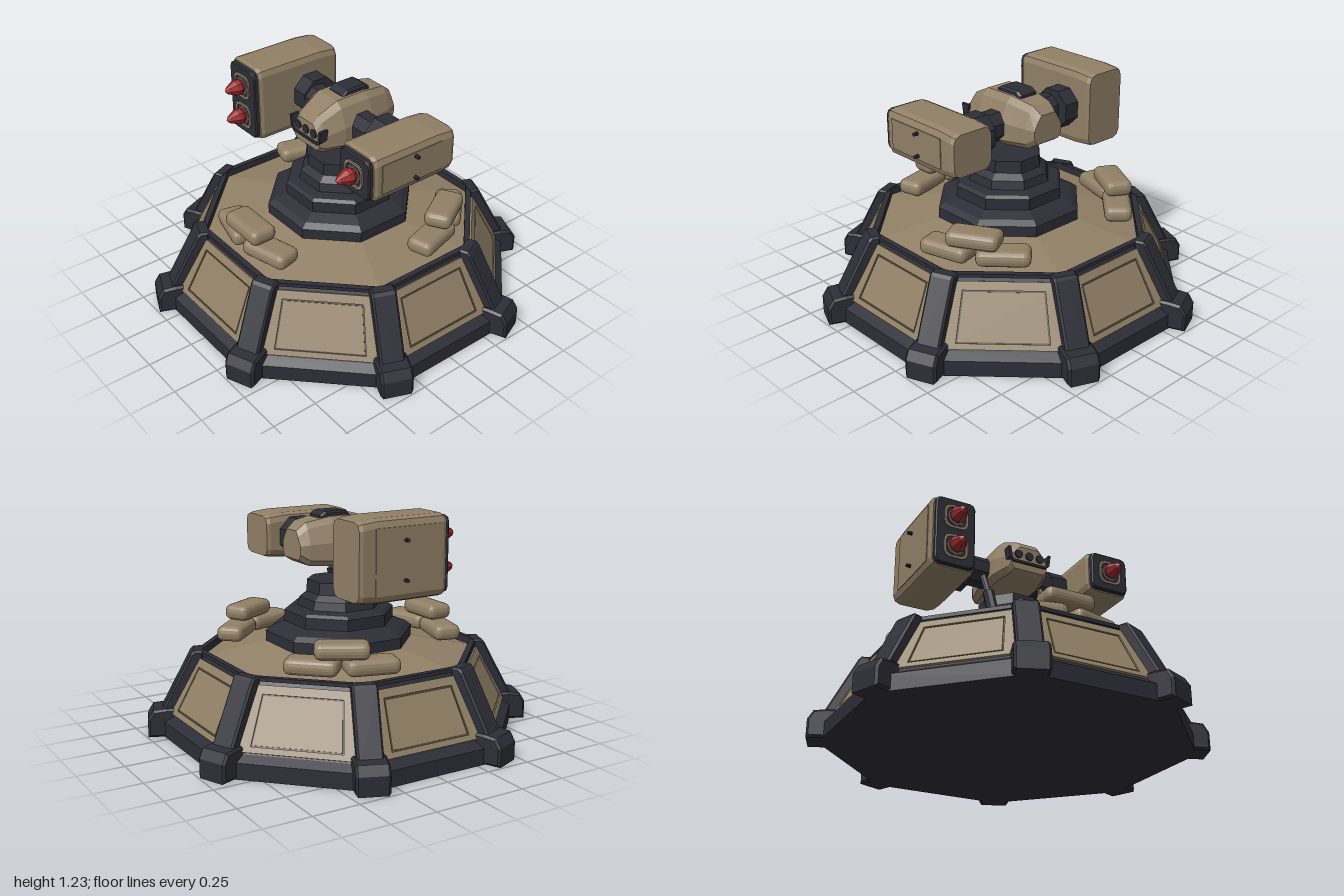
import * as THREE from 'three';
import { RoundedBoxGeometry } from 'three/addons/geometries/RoundedBoxGeometry.js';

const mat = (name, color) => Object.assign(new THREE.MeshStandardMaterial({ color }), { name });

// Split shared corners so every facet is shaded flat
function flat(geo) {
  const g = geo.index ? geo.toNonIndexed() : geo;
  g.computeVertexNormals();
  return g;
}

// Octagonal solid with flats on the axes; profile is [apothem, y], bottom to top
function octagon(profile) {
  const k = 1 / Math.cos(Math.PI / 8);
  return flat(new THREE.LatheGeometry(profile.map(([r, y]) => new THREE.Vector2(r * k, y)), 8, Math.PI / 8));
}

// Skin over counter-clockwise cross-sections { z, pts } ordered by rising z
function loft(sections) {
  const n = sections[0].pts.length, pos = [], idx = [];
  for (const { z, pts } of sections) for (const [x, y] of pts) pos.push(x, y, z);
  for (let i = 0; i < sections.length - 1; i++) {
    for (let j = 0; j < n; j++) {
      const a = i * n + j, b = i * n + (j + 1) % n;
      idx.push(a, b, b + n, a, b + n, a + n);
    }
  }
  const last = (sections.length - 1) * n;
  for (let j = 1; j < n - 1; j++) idx.push(0, j + 1, j, last, last + j, last + j + 1);
  const g = new THREE.BufferGeometry();
  g.setAttribute('position', new THREE.Float32BufferAttribute(pos, 3));
  g.setIndex(idx);
  return flat(g);
}

// Rectangle with rounded corners, three points each
function roundRect(hw, hh, r) {
  const pts = [];
  [[1, 1], [-1, 1], [-1, -1], [1, -1]].forEach(([sx, sy], q) => {
    for (let k = 0; k < 3; k++) {
      const a = q * Math.PI / 2 + k * Math.PI / 4;
      pts.push([sx * (hw - r) + r * Math.cos(a), sy * (hh - r) + r * Math.sin(a)]);
    }
  });
  return pts;
}

const toShape = pts => new THREE.Shape(pts.map(([x, y]) => new THREE.Vector2(x, y)));
const trapezoid = (bottom, top, y0, y1) => [[-bottom, y0], [bottom, y0], [top, y1], [-top, y1]];

function extrude(shape, depth, bevel = 0) {
  return new THREE.ExtrudeGeometry(shape, {
    depth: depth - 2 * bevel, bevelEnabled: bevel > 0, bevelSize: bevel, bevelThickness: bevel,
    bevelOffset: -bevel, bevelSegments: 1, curveSegments: 1,
  });
}

export function createModel() {
  const tan = mat('tan armour', 0x918066), groove = mat('groove brown', 0x51473a);
  const dark = mat('dark metal', 0x2d2d37), steel = mat('grey steel', 0x55565c);
  const red = mat('warhead red', 0x9e2a2c);

  const model = new THREE.Group();
  const add = (parent, name, geo, material, x = 0, y = 0, z = 0) => {
    const m = new THREE.Mesh(geo, material);
    m.name = name;
    m.position.set(x, y, z);
    parent.add(m);
    return m;
  };
  const group = (parent, name) => {
    const g = new THREE.Group();
    g.name = name;
    parent.add(g);
    return g;
  };

  // Bunker base: skirt, sloped wall, rim and deck
  const base = group(model, 'base');
  add(base, 'baseShell', octagon([[0, 0], [0.915, 0], [0.915, 0.085], [0.87, 0.115], [0.705, 0.44],
    [0.715, 0.44], [0.715, 0.46], [0.685, 0.46], [0.685, 0.41]]), dark);
  add(base, 'deck', octagon([[0.69, 0.42], [0.34, 0.5]]), tan);

  // Wall panels: a frame, a groove and an inset plate on every side
  const frame = toShape(trapezoid(0.33, 0.27, -0.18, 0.155));
  frame.holes.push(new THREE.Path(trapezoid(0.232, 0.204, -0.15, 0.11).map(p => new THREE.Vector2(...p))));
  const frameGeo = extrude(frame, 0.012);
  const plateGeo = extrude(toShape(trapezoid(0.224, 0.197, -0.142, 0.102)), 0.01);
  const grooveGeo = extrude(toShape(trapezoid(0.25, 0.22, -0.16, 0.12)), 0.004);
  // Corner posts and feet, drawn as radius against height
  const postGeo = extrude(toShape([[0.74, 0.05], [0.985, 0.05], [0.975, 0.13], [0.805, 0.45], [0.79, 0.465],
    [0.74, 0.465]]), 0.13, 0.01).translate(0, 0, -0.055);
  const footGeo = extrude(toShape([[0.84, 0], [1.045, 0], [1.045, 0.1], [1.015, 0.148], [0.95, 0.155],
    [0.84, 0.155]]), 0.17, 0.012).translate(0, 0, -0.073);
  for (let i = 0; i < 8; i++) {
    const side = group(base, 'wallSide');
    side.rotation.y = i * Math.PI / 4;
    const panel = group(side, 'wallPanel');
    panel.position.set(0, 0.2825, 0.785);
    panel.rotation.x = -0.47;
    add(panel, 'panelFrame', frameGeo, tan);
    add(panel, 'panelGroove', grooveGeo, groove);
    add(panel, 'panelPlate', plateGeo, tan);
    const corner = group(base, 'corner');
    corner.rotation.y = (i + 0.5) * Math.PI / 4;
    add(corner, 'cornerPost', postGeo, dark);
    add(corner, 'cornerFoot', footGeo, dark);
  }

  // Three stacks of sandbags around the deck
  const bagGeo = flat(new RoundedBoxGeometry(0.28, 0.086, 0.15, 2, 0.036));
  for (let i = 0; i < 3; i++) {
    const stack = group(model, 'sandbagStack');
    stack.rotation.y = i * Math.PI * 2 / 3;
    [[-0.25, 0.502], [0.25, 0.502], [0, 0.587]].forEach(([a, y]) => {
      add(stack, 'sandbag', bagGeo, tan, 0.59 * Math.sin(a), y, 0.59 * Math.cos(a)).rotation.y = a;
    });
  }

  // Stepped pedestal
  add(model, 'pedestal', octagon([[0.37, 0.48], [0.37, 0.55], [0.34, 0.575], [0.275, 0.6], [0.275, 0.66],
    [0.26, 0.675], [0.21, 0.685], [0.2, 0.73], [0.165, 0.76], [0.16, 0.825], [0, 0.825]]), dark);

  // Head: armoured shell lofted from back to front
  const head = group(model, 'head');
  const headSection = ([z, w, top, low]) => {
    const half = [[0.8 * w, low], [w, low + 0.03], [w, (low + top) / 2], [0.74 * w, top - 0.03], [0.5 * w, top]];
    return { z, pts: [...half, ...half.map(([x, y]) => [-x, y]).reverse()] };
  };
  add(head, 'headShell', loft([[-0.29, 0.095, 1.11, 0.96], [-0.24, 0.115, 1.15, 0.93], [-0.1, 0.15, 1.175, 0.92],
    [0.08, 0.15, 1.175, 0.92], [0.19, 0.12, 1.12, 0.925], [0.22, 0.11, 1.08, 0.94]].map(headSection)), tan);
  add(head, 'roofHatch', extrude(toShape([[-0.15, 1.15], [0.03, 1.15], [0.03, 1.18], [0, 1.2], [-0.12, 1.2],
    [-0.15, 1.18]]), 0.12, 0.01).translate(0, 0, -0.05).rotateY(-Math.PI / 2), dark);
  add(head, 'visorBracket', extrude(toShape([[-0.13, 1.065], [-0.122, 1], [-0.1, 0.978], [0.1, 0.978], [0.122, 1],
    [0.13, 1.065], [0.115, 1.065], [0.105, 1.005], [0.093, 0.992], [-0.093, 0.992], [-0.105, 1.005],
    [-0.115, 1.065]]), 0.05), dark, 0, 0, 0.18);
  const lensGeo = flat(new THREE.CylinderGeometry(0.024, 0.024, 0.02, 10).rotateX(Math.PI / 2));
  for (const x of [-0.065, 0, 0.065]) add(head, 'lens', lensGeo, dark, x, 1.03, 0.219);

  // Shoulder arms and hydraulic struts, mirrored
  const octPrism = (r, len) => flat(new THREE.CylinderGeometry(r, r, len, 8, 1).rotateY(Math.PI / 8).rotateZ(Math.PI / 2));
  const armGeo = octPrism(0.085, 0.14), flangeGeo = octPrism(0.115, 0.095);
  const rod = (name, from, to, r, material) => {
    const a = new THREE.Vector3(...from), d = new THREE.Vector3(...to).sub(a);
    const m = add(model, name, flat(new THREE.CylinderGeometry(r, r, d.length(), 8)), material);
    m.position.copy(a).addScaledVector(d, 0.5);
    m.quaternion.setFromUnitVectors(new THREE.Vector3(0, 1, 0), d.normalize());
  };
  for (const s of [-1, 1]) {
    add(model, 'shoulderArm', armGeo, dark, s * 0.19, 1.015, -0.04);
    add(model, 'shoulderFlange', flangeGeo, dark, s * 0.3, 1.015, -0.065);
    rod('strutSleeve', [s * 0.148, 0.735, 0.08], [s * 0.162, 0.85, 0.055], 0.033, dark);
    rod('strutRod', [s * 0.16, 0.83, 0.058], [s * 0.18, 0.96, 0.025], 0.018, steel);
  }

  // Launcher pods
  const ringShape = toShape(roundRect(0.068, 0.068, 0.035));
  ringShape.holes.push(new THREE.Path(roundRect(0.055, 0.055, 0.028).map(p => new THREE.Vector2(...p))));
  const ringGeo = extrude(ringShape, 0.012);
  const warheadGeo = flat(new THREE.LatheGeometry([[0.03, 0], [0.046, 0.025], [0.042, 0.05], [0.02, 0.095], [0, 0.112]]
    .map(p => new THREE.Vector2(...p)), 8).rotateX(Math.PI / 2));
  const boltGeo = flat(new THREE.CylinderGeometry(0.01, 0.01, 0.03, 8).rotateZ(Math.PI / 2));
  const buildPod = (side, hh, tubes, bolts) => {
    const pod = group(model, side > 0 ? 'leftPod' : 'rightPod');
    pod.position.set(side * 0.473, 1.018, 0);
    const hw = 0.128;
    add(pod, 'podShell', loft([[-0.25, 0.008, 0.014], [-0.23, 0, 0.009], [-0.14, 0, 0], [0.245, 0, 0], [0.265, 0.008, 0.008]]
      .map(([z, dx, dy]) => ({ z, pts: roundRect(hw - dx, hh - dy, 0.042) }))), tan);
    add(pod, 'podFace', extrude(toShape(roundRect(hw - 0.015, hh - 0.015, 0.03)), 0.03, 0.006), dark, 0, 0, 0.266);
    add(pod, 'podSidePanel', new THREE.BoxGeometry(0.008, 2 * hh - 0.09, 0.38), tan, side * hw, 0, 0.03);
    for (const y of tubes) {
      add(pod, 'tubeRing', ringGeo, tan, 0, y, 0.286);
      add(pod, 'tubeSeat', new THREE.CylinderGeometry(0.05, 0.05, 0.006, 8).rotateX(Math.PI / 2), steel, 0, y, 0.29);
      add(pod, 'warhead', warheadGeo, red, 0, y, 0.29);
    }
    for (const y of bolts) add(pod, 'bolt', boltGeo, dark, side * 0.142, y, 0.012);
  };
  buildPod(-1, 0.212, [-0.088, 0.088], [-0.1, 0.1]);
  buildPod(1, 0.125, [0], [-0.06, 0.06]);

  return model;
}
